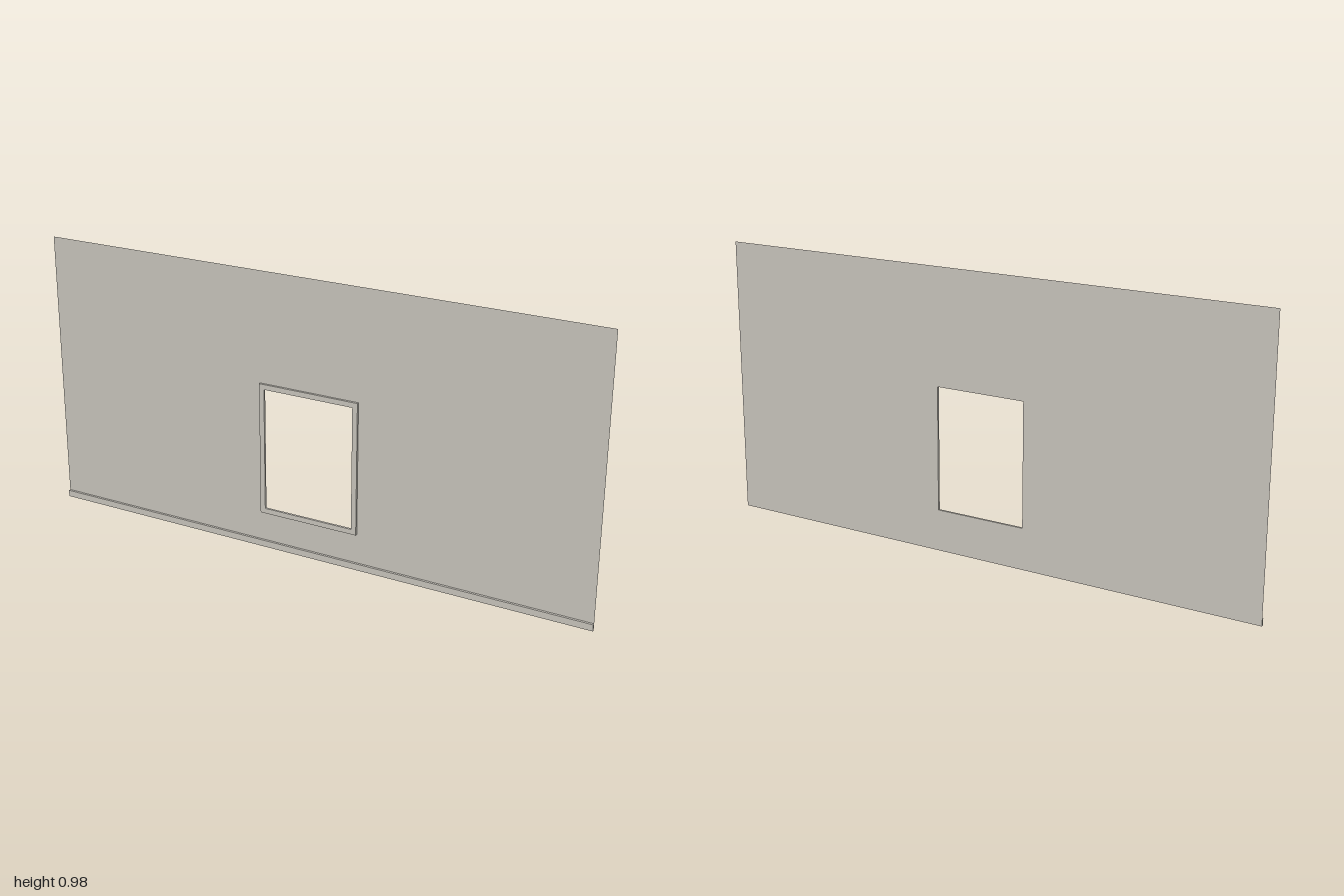
import * as THREE from 'three';

const BACK = -0.004, DEPTH = 0.008, HEIGHT = 0.975, BASE = 0.023, TRIM = 0.018;
const opening = { x0: -0.165, x1: 0.161, y0: 0.145, y1: 0.574 };

// Rectangle outline, optionally grown outwards
function rect(Type, { x0, x1, y0, y1 }, grow = 0) {
  const p = new Type();
  p.moveTo(x0 - grow, y0 - grow);
  p.lineTo(x1 + grow, y0 - grow);
  p.lineTo(x1 + grow, y1 + grow);
  p.lineTo(x0 - grow, y1 + grow);
  p.closePath();
  return p;
}

export function createModel() {
  const group = new THREE.Group();
  const plaster = new THREE.MeshStandardMaterial({ color: 0xcac6be, side: THREE.DoubleSide });
  plaster.name = 'warm grey plaster';

  const add = (name, geometry, z) => {
    const mesh = new THREE.Mesh(geometry, plaster);
    mesh.name = name;
    mesh.position.z = z;
    group.add(mesh);
    return mesh;
  };

  // Thin wall sheet with a window opening
  const wall = rect(THREE.Shape, { x0: -1, x1: 1, y0: 0, y1: HEIGHT });
  wall.holes.push(rect(THREE.Path, opening));
  add('wall', new THREE.ShapeGeometry(wall), BACK);

  // Trim around the opening, on the front of the wall
  const trim = rect(THREE.Shape, opening, TRIM);
  trim.holes.push(rect(THREE.Path, opening));
  add('windowTrim', new THREE.ExtrudeGeometry(trim, { depth: DEPTH, bevelEnabled: false }), BACK);

  // Skirting board along the foot of the wall
  add('baseboard', new THREE.BoxGeometry(2, BASE, DEPTH), 0).position.y = BASE / 2;

  return group;
}
